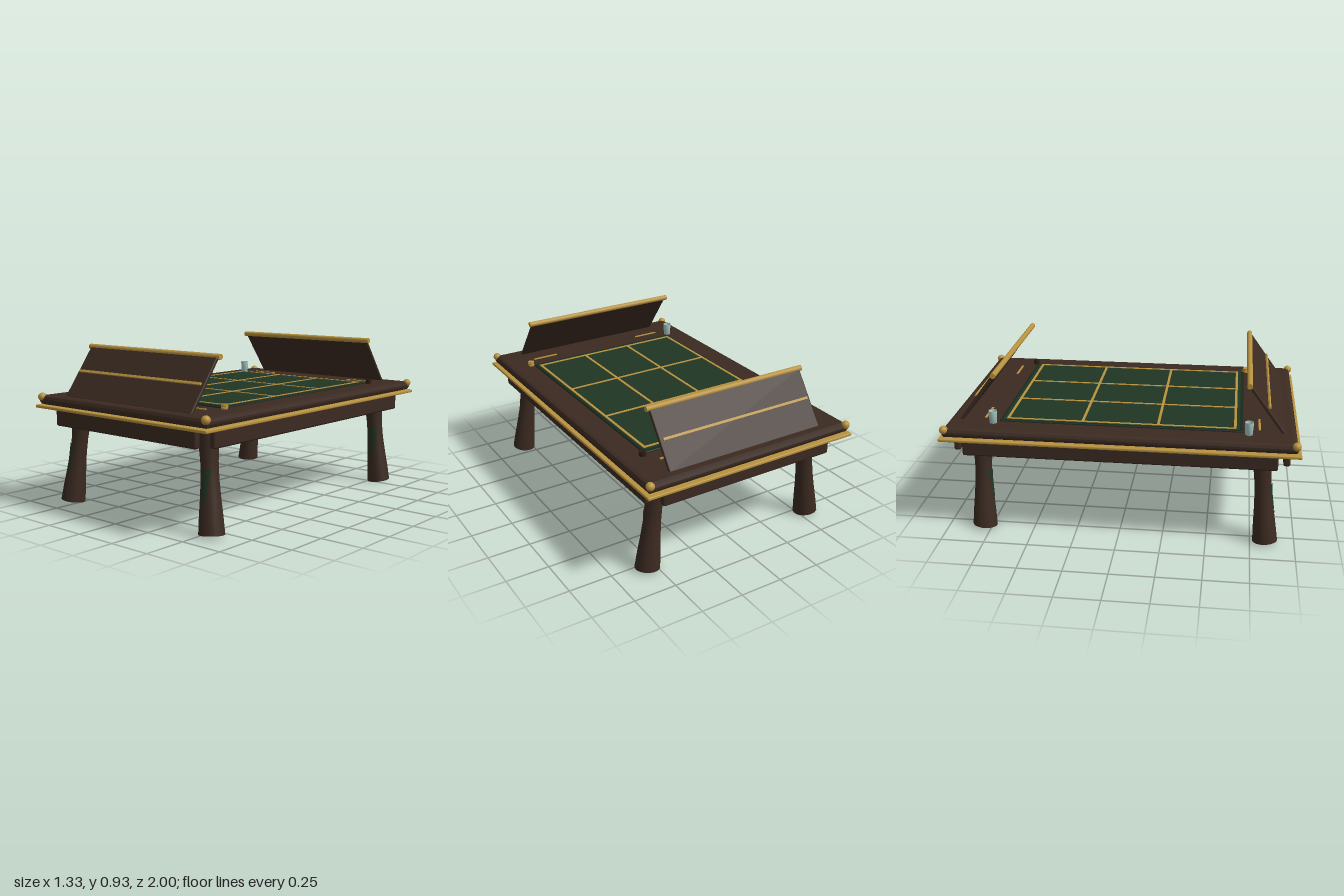
import * as THREE from 'three';
import { RoundedBoxGeometry } from 'three/addons/geometries/RoundedBoxGeometry.js';

const mat = (name, color, extra = {}) => {
  const m = new THREE.MeshStandardMaterial({ color, ...extra });
  m.name = name;
  return m;
};

export function createModel() {
  const wood = mat('dark wood', 0x3b2a21);
  const gold = mat('gold', 0xb8923f);
  const felt = mat('green felt', 0x203524, { side: THREE.DoubleSide });
  const feltEdge = mat('dark green edge', 0x192a1e);
  const glass = mat('pale glass', 0xa9cbc6, { side: THREE.DoubleSide });
  const darkToken = mat('dark token', 0x2c1a14);

  const model = new THREE.Group();
  model.name = 'gameTable';
  const add = (name, geo, material, x = 0, y = 0, z = 0, parent = model) => {
    const m = new THREE.Mesh(geo, material);
    m.name = name;
    m.position.set(x, y, z);
    parent.add(m);
    return m;
  };
  const box = (w, h, d) => new THREE.BoxGeometry(w, h, d);
  const rounded = (w, h, d, r) => new RoundedBoxGeometry(w, h, d, 3, r);

  // Gold base plate and bevelled wooden top
  add('goldBasePlate', rounded(1.33, 0.018, 2, 0.006), gold, 0, 0.579, 0);
  const rect = new THREE.Shape([[-0.625, -0.955], [0.625, -0.955], [0.625, 0.955], [-0.625, 0.955]]
    .map(([x, y]) => new THREE.Vector2(x, y)));
  const topGeo = new THREE.ExtrudeGeometry(rect, {
    depth: 0.012, bevelSize: 0.024, bevelThickness: 0.022, bevelSegments: 2,
  });
  topGeo.rotateX(-Math.PI / 2);
  add('tableTop', topGeo, wood, 0, 0.609, 0);

  // Playing field with its gold grid
  add('fieldEdge', rounded(1.0, 0.014, 1.37, 0.005), feltEdge, 0, 0.644, 0);
  add('fieldFelt', box(0.98, 0.012, 1.33), felt, 0, 0.648, 0);
  for (const x of [-0.473, -0.157, 0.157, 0.473]) {
    add('gridLineLong', box(0.015, 0.004, 1.295), gold, x, 0.655, 0);
  }
  for (const z of [-0.64, -0.213, 0.213, 0.64]) {
    add('gridLineCross', box(0.96, 0.004, 0.015), gold, 0, 0.655, z);
  }

  // Aprons under the top
  for (const s of [-1, 1]) {
    add('endApron', rounded(1.09, 0.105, 0.038, 0.012), wood, 0, 0.5225, s * 0.93);
    add('sideApron', rounded(0.038, 0.105, 1.76, 0.012), wood, s * 0.595, 0.5225, 0);
  }

  // Flared leaning legs with an inlay following the front face
  const legTop = 0.575;
  const radii = [0.07, 0.0635, 0.055, 0.0485, 0.0475, 0.054, 0.063];
  const legRadius = (y) => {
    const f = THREE.MathUtils.clamp(y / legTop, 0, 0.9999) * (radii.length - 1);
    const i = Math.floor(f);
    return THREE.MathUtils.lerp(radii[i], radii[i + 1], f - i);
  };
  for (const sx of [-1, 1]) for (const sz of [-1, 1]) {
    const cx = (y) => sx * (0.49 + 0.105 * (legTop - y));
    const cz = (y) => (sz > 0 ? 0.79 + 0.078 * (legTop - y) : -0.792);
    const profile = [new THREE.Vector2(0, 0), new THREE.Vector2(radii[0], 0)];
    radii.forEach((r, i) => profile.push(new THREE.Vector2(r, legTop * i / (radii.length - 1))));
    const leg = new THREE.LatheGeometry(profile, 24);
    const p = leg.attributes.position;
    for (let i = 0; i < p.count; i++) {
      const x = p.getX(i), y = p.getY(i), z = p.getZ(i);
      const tilt = 0.1 * (sx * x + sz * z) * (1 - y / legTop);
      p.setXYZ(i, x + cx(y), y * 0.98 + 0.01 + tilt, z + cz(y));
    }
    leg.computeVertexNormals();
    add('leg', leg, wood);

    const inlay = new THREE.PlaneGeometry(1, 1, 6, 8);
    const q = inlay.attributes.position;
    for (let i = 0; i < q.count; i++) {
      const t = q.getY(i) + 0.5, y = 0.18 + 0.175 * t;
      const x = sx * 0.531 + q.getX(i) * (0.02 + 0.024 * t);
      const r = legRadius(y) + 0.004, dx = x - cx(y);
      q.setXYZ(i, x, y, cz(y) + Math.sqrt(Math.max(r * r - dx * dx, 0)));
    }
    inlay.computeVertexNormals();
    add('legInlay', inlay, felt);

    // Corner ball
    add('cornerBall', new THREE.SphereGeometry(0.024, 20, 14), gold, sx * 0.637, 0.633, sz * 0.97);
    // Small gold strip behind the screen
    add('smallStrip', box(0.16, 0.006, 0.012), gold, sx * 0.38, 0.645, sz * 0.775);
  }

  // Leaning screens at both ends
  for (const s of [-1, 1]) {
    const screen = new THREE.Group();
    screen.name = s > 0 ? 'frontScreen' : 'backScreen';
    screen.position.set(0, 0.645, s * 0.905);
    screen.rotation.x = -s * 0.632;
    model.add(screen);
    add('screenBoard', rounded(0.98, 0.345, 0.02, 0.007), wood, 0, 0.16, 0, screen);
    add('screenStrip', box(0.94, 0.014, 0.012), gold, 0, 0.16, s * 0.014, screen);
    const rod = new THREE.CylinderGeometry(0.016, 0.016, 1.01, 16).rotateZ(Math.PI / 2);
    add('screenRod', rod, gold, 0, 0.333, 0, screen);
  }

  // Drinking glasses and token stacks
  const cup = [[0, 0], [0.021, 0], [0.025, 0.072], [0.022, 0.072], [0.018, 0.008], [0, 0.008]]
    .map(([x, y]) => new THREE.Vector2(x, y));
  for (const s of [-1, 1]) {
    add('drinkingGlass', new THREE.LatheGeometry(cup, 16), glass, -0.52, 0.643, s * 0.715);
    for (let i = 0; i < 3; i++) {
      add('token', new THREE.CylinderGeometry(0.019, 0.019, 0.008, 16),
        s > 0 ? gold : darkToken, 0.517 + 0.002 * (i % 2), 0.648 + i * 0.0095, s * 0.695);
    }
  }
  return model;
}
